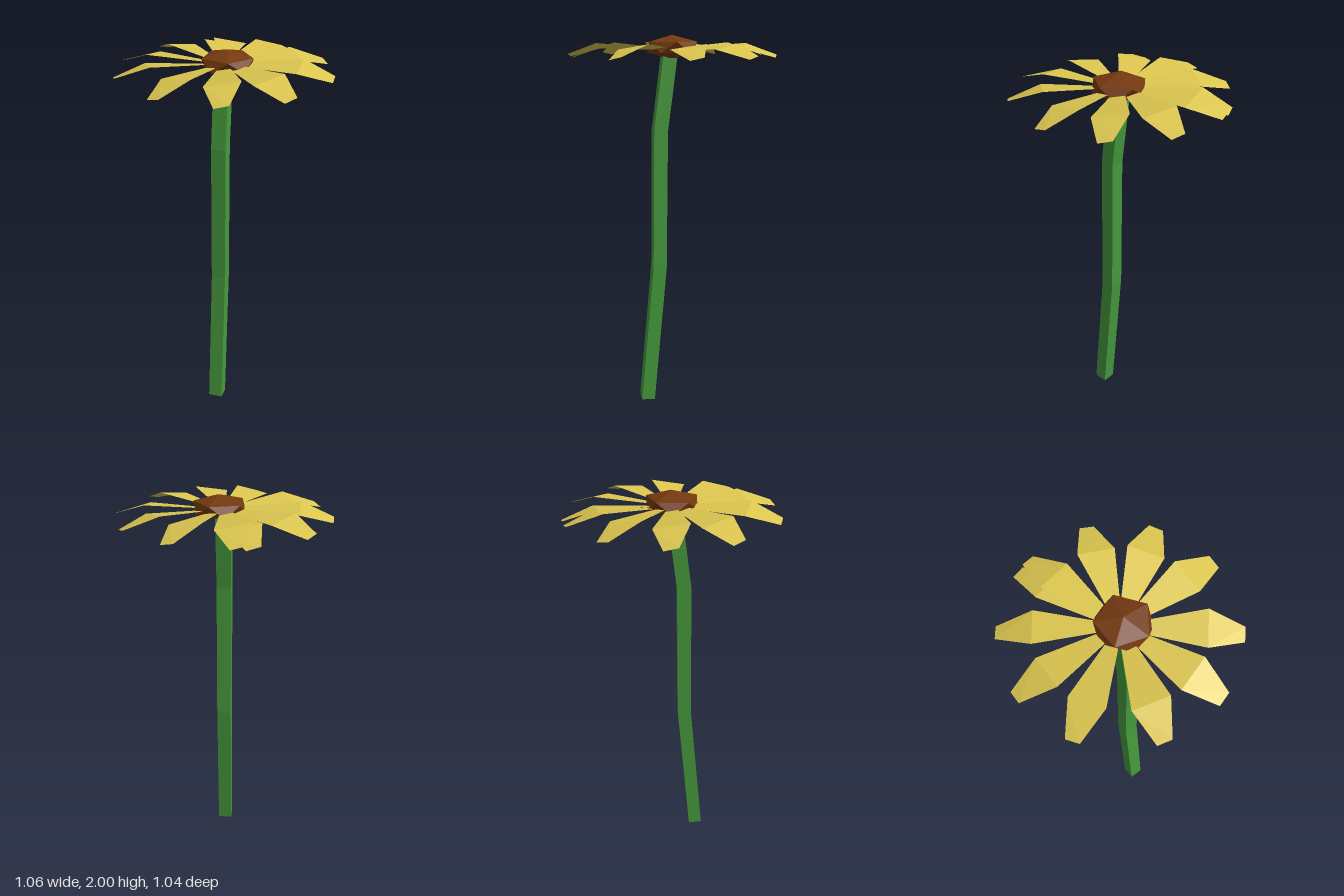
import * as THREE from 'three';

const flat = (color, side = THREE.FrontSide) =>
  new THREE.MeshStandardMaterial({ color, side, flatShading: true });

// Square stalk: each row of a box is moved onto a bent centre line
function makeStem() {
  const rows = [[0.004, 0.138, 0.1], [0.78, 0.068, 0.03], [1.52, 0.06, 0.08], [1.92, 0.008, 0.1]]; // y, z, tilt
  const geo = new THREE.BoxGeometry(0.075, 3, 0.072, 1, 3, 1);
  const pos = geo.attributes.position;
  for (let i = 0; i < pos.count; i++) {
    const [y, z, tilt] = rows[Math.round(pos.getY(i) + 1.5)];
    pos.setY(i, y + pos.getZ(i) * tilt);
    pos.setZ(i, pos.getZ(i) + z);
  }
  geo.computeVertexNormals();
  const stem = new THREE.Mesh(geo, flat(0x469a3e));
  stem.name = 'stem';
  return stem;
}

// Flattened icosahedron with one corner pointing straight up
function makeSeedHead() {
  const geo = new THREE.IcosahedronGeometry(0.143, 0);
  const t = (1 + Math.sqrt(5)) / 2;
  const up = new THREE.Vector3(0, 1, 0);
  geo.applyQuaternion(new THREE.Quaternion().setFromUnitVectors(new THREE.Vector3(0, 1, t).normalize(), up));
  // Spin so that a corner of the upper ring points to +x
  const pos = geo.attributes.position;
  for (let i = 0; i < pos.count; i++) {
    if (pos.getY(i) > 0.03 && pos.getY(i) < 0.1) {
      geo.rotateY(Math.atan2(pos.getZ(i), pos.getX(i)));
      break;
    }
  }
  geo.scale(1, 0.06 / 0.143, 1);
  geo.computeVertexNormals();
  const head = new THREE.Mesh(geo, flat(0x74390f));
  head.name = 'seedHead';
  head.position.set(0.017, 1.94, 0);
  return head;
}

// Thin petal along +x: narrow base, wide shoulder, drooping tip, slight twist
function makePetalGeometry() {
  const sections = [[0.05, 1.932, 0.02, 0.003], [0.368, 1.947, 0.084, 0.013], [0.528, 1.898, 0.033, 0.007]]; // x, y, half width, twist
  const geo = new THREE.PlaneGeometry(2, 2, 2, 1).rotateX(-Math.PI / 2);
  const pos = geo.attributes.position;
  for (let i = 0; i < pos.count; i++) {
    const [x, y, half, twist] = sections[Math.round(pos.getX(i) + 1)];
    const s = Math.sign(pos.getZ(i));
    pos.setXYZ(i, x, y - s * twist, s * half);
  }
  geo.computeVertexNormals();
  return geo;
}

export function createModel() {
  const flower = new THREE.Group();
  flower.name = 'flower';
  flower.add(makeStem(), makeSeedHead());

  // Ring of petals, two of them overlapping; degrees from +x towards +z
  const petals = new THREE.Group();
  petals.name = 'petals';
  const geo = makePetalGeometry();
  const material = flat(0xdcc64f, THREE.DoubleSide);
  [-1, 40, 74, 108, 149, 182.5, 216.4, 250, 257.5, 291.3, 325.4].forEach((deg, i) => {
    const petal = new THREE.Mesh(geo, material);
    petal.name = `petal${i + 1}`;
    petal.rotation.y = -THREE.MathUtils.degToRad(deg);
    if (deg === 250) petal.position.y = -0.006;
    petals.add(petal);
  });
  flower.add(petals);
  return flower;
}
